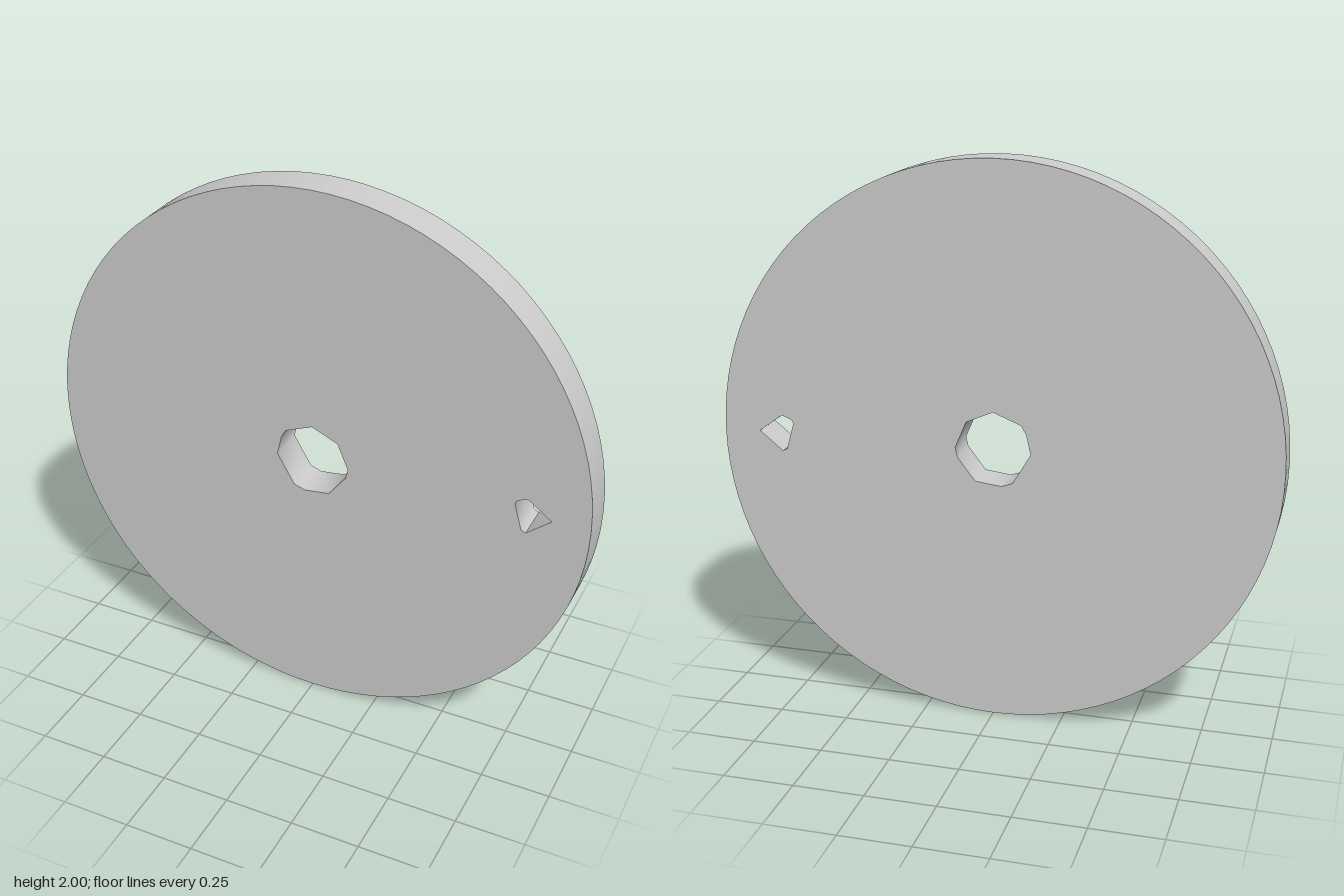
import * as THREE from 'three';
import { toCreasedNormals } from 'three/addons/utils/BufferGeometryUtils.js';

const THICKNESS = 0.135;

// Closed polygonal hole from [x, y] corners
function polygonHole(corners) {
  return new THREE.Path(corners.map(([x, y]) => new THREE.Vector2(x, y)));
}

export function createModel() {
  const group = new THREE.Group();
  group.name = 'wheelDisc';

  // Round outline
  const outline = new THREE.Shape();
  outline.absarc(0, 1, 1, 0, Math.PI * 2, false);

  // Faceted axle hole in the middle
  outline.holes.push(polygonHole([
    [0, 1.137], [0.096, 1.095], [0.136, 1.0], [0.128, 0.965], [0.064, 0.883],
    [-0.03, 0.872], [-0.07, 0.886], [-0.134, 0.995], [-0.118, 1.066], [-0.1, 1.097],
  ]));

  // Small crank pin hole near the rim
  outline.holes.push(polygonHole([
    [0.867, 1.003], [0.782, 0.934], [0.765, 0.943], [0.738, 1.038], [0.745, 1.052], [0.781, 1.066],
  ]));

  // Flat plate with a smooth rim and sharp edges
  const plate = new THREE.ExtrudeGeometry(outline, {
    depth: THICKNESS, bevelEnabled: false, curveSegments: 48,
  });
  plate.translate(0, 0, -THICKNESS / 2);

  const disc = new THREE.Mesh(
    toCreasedNormals(plate, 1.0),
    new THREE.MeshStandardMaterial({ color: 0xcccccc }),
  );
  disc.name = 'disc';
  group.add(disc);
  return group;
}
